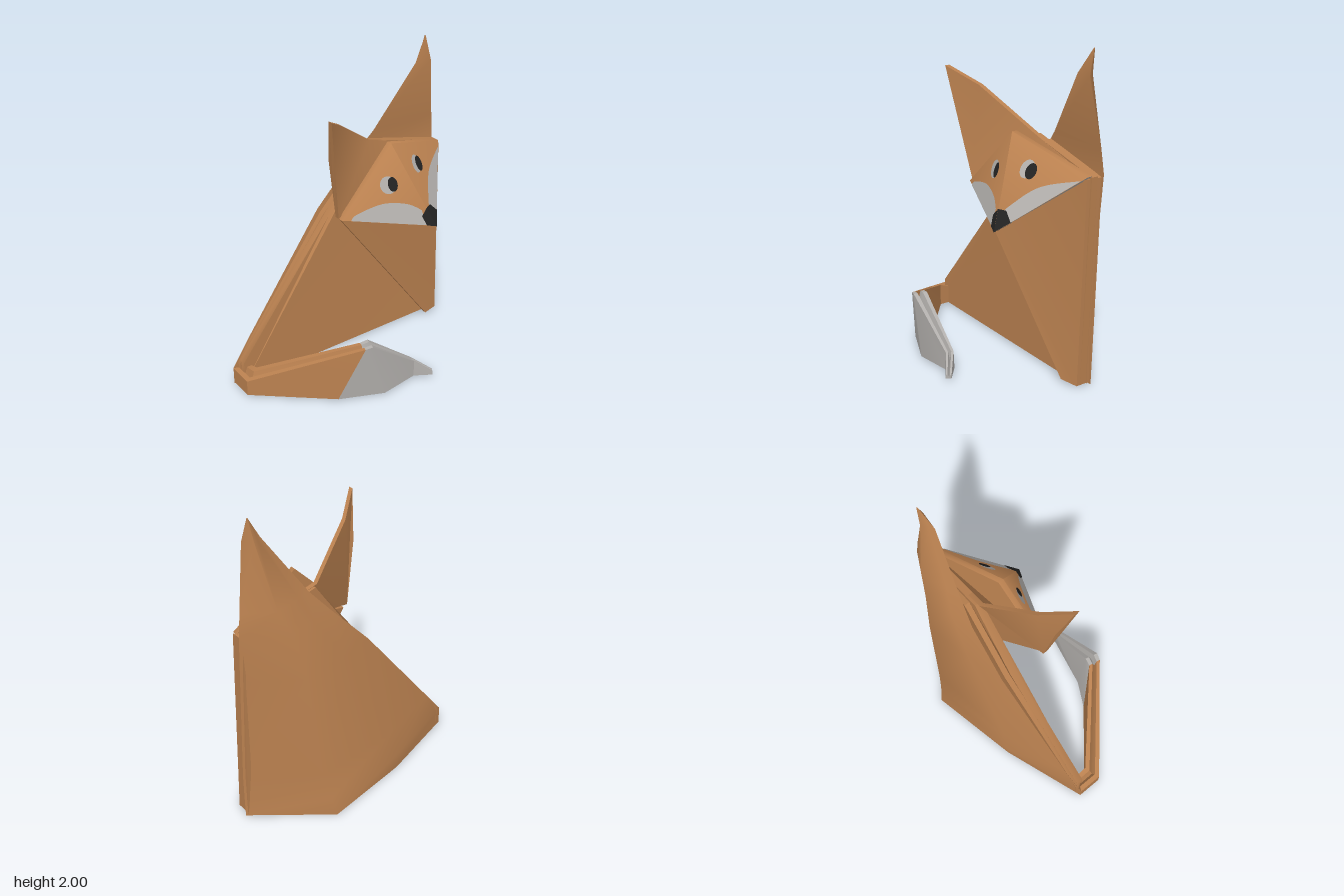
import * as THREE from 'three';
import { toCreasedNormals } from 'three/addons/utils/BufferGeometryUtils.js';

const mat = (name, color) => {
  const m = new THREE.MeshStandardMaterial({ color, side: THREE.DoubleSide });
  m.name = name;
  return m;
};

// Flat-faced geometry from a list of triangles
function fromTriangles(tris) {
  const g = new THREE.BufferGeometry();
  g.setAttribute('position', new THREE.Float32BufferAttribute(tris.flat(2), 3));
  g.computeVertexNormals();
  return g;
}

const fan = (p) => p.slice(2).map((q, i) => [p[0], p[i + 1], q]);

// Folded paper layer: polygon with a thickness towards the back
function slab(pts, depth) {
  const back = pts.map(([x, y, z]) => [x, y, z - depth]);
  const tris = [...fan(pts), ...fan(back).map(([a, b, c]) => [a, c, b])];
  pts.forEach((a, i) => {
    const j = (i + 1) % pts.length;
    tris.push([a, back[i], back[j]], [a, back[j], pts[j]]);
  });
  return toCreasedNormals(fromTriangles(tris), 0.7);
}

// Skin over rings of equal point count
function loft(rings, crease) {
  const n = rings[0].length, last = rings[rings.length - 1];
  const tris = [...fan(rings[0]).map(([a, b, c]) => [a, c, b]), ...fan(last)];
  for (let i = 0; i < rings.length - 1; i++) {
    for (let j = 0; j < n; j++) {
      const k = (j + 1) % n;
      tris.push([rings[i][j], rings[i][k], rings[i + 1][k]], [rings[i][j], rings[i + 1][k], rings[i + 1][j]]);
    }
  }
  return toCreasedNormals(fromTriangles(tris), crease);
}

// Lays a flat shape, drawn in x and y, on the plane through three points
function drape(shape, tri, lift) {
  const plane = new THREE.Plane().setFromCoplanarPoints(...tri.map((p) => new THREE.Vector3(...p)));
  const n = plane.normal, g = new THREE.ShapeGeometry(shape, 16), p = g.attributes.position;
  for (let i = 0; i < p.count; i++) {
    p.setZ(i, -(plane.constant + n.x * p.getX(i) + n.y * p.getY(i)) / n.z + lift);
  }
  g.computeVertexNormals();
  return g;
}

const polygon = (pts) => new THREE.Shape(pts.map((p) => new THREE.Vector2(...p)));

// Shape with a smooth upper curve closed by straight corners
function curved(curve, corners) {
  const s = new THREE.Shape();
  s.moveTo(...curve[0]);
  s.splineThru(curve.slice(1).map((p) => new THREE.Vector2(...p)));
  corners.forEach((p) => s.lineTo(...p));
  return s;
}

function ellipse(x, y, rx, ry, tilt) {
  const s = new THREE.Shape();
  s.absellipse(x, y, rx, ry, 0, Math.PI * 2, false, tilt);
  return s;
}

export function createModel() {
  const model = new THREE.Group();
  model.name = 'paperFox';
  const orange = mat('foxBrown', 0xb9804f);
  const white = mat('paleGrey', 0xb2afac);
  const black = mat('black', 0x222222);
  const add = (name, geo, material, parent = model) => {
    const m = new THREE.Mesh(geo, material);
    m.name = name;
    parent.add(m);
    return m;
  };

  // Back fold with the tall ear: y, then x/z of left edge, two creases, right edge
  const backRows = [
    [0, -0.8, -0.2, -0.25, -0.39, 0.34, -0.51, 0.787, -0.17],
    [0.12, -0.8, -0.2, -0.25, -0.4, 0.36, -0.48, 0.787, -0.165],
    [0.3, -0.65, -0.225, -0.2, -0.38, 0.4, -0.45, 0.787, -0.16],
    [1, -0.08, -0.275, 0.15, -0.345, 0.47, -0.4, 0.79, -0.19],
    [1.3, 0.2, -0.26, 0.35, -0.3, 0.53, -0.35, 0.795, -0.21],
    [1.45, 0.33, -0.23, 0.42, -0.26, 0.6, -0.31, 0.777, -0.2],
    [1.85, 0.6, -0.165, 0.63, -0.185, 0.67, -0.215, 0.715, -0.155],
    [2, 0.695, -0.195, 0.697, -0.2, 0.699, -0.2, 0.7, -0.195],
  ];
  const backRings = backRows.map(([y, ...r]) => [3, 2, 1, 0].map((k) => [r[2 * k], y, r[2 * k + 1]]));
  add('backAndTallEar', loft(backRings, 1.2), orange);

  // Two middle layers and the chest flap
  add('bodyFront', slab([
    [-0.75, 0.01, -0.145], [0.77, 0.01, -0.1], [0.775, 1.29, -0.14],
    [0.25, 1.43, -0.145], [-0.075, 0.99, -0.165], [-0.75, 0.165, -0.15],
  ], 0.045), orange);
  add('innerLayer', slab([
    [-0.76, 0.01, -0.18], [0.775, 0.01, -0.145], [0.775, 1.28, -0.18],
    [0.3, 1.4, -0.195], [-0.08, 0.985, -0.215], [-0.76, 0.15, -0.18],
  ], 0.035), orange);
  add('chestFlap', slab([
    [-0.12, 1.07, 0.04], [0.66, 0.02, -0.045], [0.77, 0.01, -0.075], [0.77, 1.28, -0.11],
  ], 0.025), orange);

  // Small ear, whose sheet runs on behind the head
  add('rightEar', slab([
    [-0.14, 1.09, 0.035], [0.76, 1.275, -0.135], [0.23, 1.44, -0.145],
    [-0.1, 1.685, 0.01], [-0.262, 1.795, 0.145], [-0.205, 1.5, 0.06],
  ], 0.03), orange);

  // Head: two front facets, a folded rim, a back and a pale underside
  const head = new THREE.Group();
  head.name = 'head';
  model.add(head);
  const T = [0.26, 1.475, 0.03], L = [-0.13, 1.085, 0.06], R = [0.77, 1.295, -0.115], N = [0.43, 0.955, 0.28];
  const [T2, L2, R2] = [T, L, R].map(([x, y, z]) => [x, y, z - 0.035]);
  const leftFace = [T, L, N], rightFace = [T, N, R], under = [L2, R2, N];
  add('headFolds', toCreasedNormals(fromTriangles([
    leftFace, rightFace, [T2, R2, L2], [T, T2, L2], [T, L2, L], [T, R, R2], [T, R2, T2],
  ]), 1.2), orange, head);
  add('chin', fromTriangles([under, [L, L2, N], [R2, R, N]]), white, head);

  // Cheeks
  add('rightCheek', drape(curved(
    [[-0.08, 1.075], [-0.04, 1.105], [0.13, 1.14], [0.275, 1.116], [0.36, 1.065]],
    [[0.37, 0.971]]), leftFace, 0.003), white, head);
  add('leftCheek', drape(curved(
    [[0.43, 1.08], [0.51, 1.18], [0.59, 1.23], [0.745, 1.272]],
    [[0.48, 1.005], [0.41, 1.03]]), rightFace, 0.003), white, head);

  // Nose, wrapped over both facets and the underside
  add('noseRight', drape(polygon([[0.392, 1.075], [0.352, 1.03], [0.37, 0.971], [0.43, 0.955]]), leftFace, 0.006), black, head);
  add('noseLeft', drape(polygon([[0.392, 1.075], [0.43, 0.955], [0.493, 1.017], [0.44, 1.072]]), rightFace, 0.006), black, head);
  add('noseUnder', drape(polygon([[0.37, 0.971], [0.43, 0.955], [0.49, 1.014]]), under, -0.004), black, head);

  // Eyes
  [
    ['rightEye', leftFace, 0.187, 1.242, 0.05, 0.052, 0.214, 1.244, 0],
    ['leftEye', rightFace, 0.441, 1.295, 0.038, 0.05, 0.468, 1.287, 0.3],
  ].forEach(([name, face, x, y, rx, ry, px, py, tilt]) => {
    add(name + 'White', drape(ellipse(x, y, rx, ry, tilt), face, 0.003), white, head);
    add(name + 'Pupil', drape(ellipse(px, py, 0.03, 0.043, tilt), face, 0.006), black, head);
  });

  // Tail: a doubled fold with a groove on top, from outer/inner bottom and top corners
  const tailRing = ([ob, ot, it, ib]) => {
    const mix = (t, drop) => ot.map((v, k) => v + (it[k] - v) * t - (k === 1 ? drop : 0));
    return [ib, it, mix(0.7, 0), mix(0.5, Math.min(0.06, ot[1] * 0.4)), mix(0.3, 0), ot, ob];
  };
  const tail = [
    [[-0.8, 0.01, -0.2], [-0.8, 0.12, -0.2], [-0.7, 0.13, -0.15], [-0.7, 0.01, -0.15]],
    [[-0.8, 0.01, -0.04], [-0.8, 0.115, -0.04], [-0.7, 0.155, -0.08], [-0.7, 0.01, -0.08]],
    [[-0.37, 0.01, 0.335], [-0.235, 0.392, 0.435], [-0.22, 0.392, 0.355], [-0.34, 0.01, 0.225]],
    [[-0.1, 0.01, 0.46], [-0.19, 0.4, 0.45], [-0.17, 0.4, 0.365], [-0.18, 0.01, 0.31]],
    [[0.15, 0.015, 0.44], [0.15, 0.13, 0.44], [0.16, 0.13, 0.39], [0.16, 0.015, 0.385]],
    [[0.25, 0.02, 0.51], [0.25, 0.045, 0.508], [0.27, 0.04, 0.48], [0.27, 0.02, 0.48]],
  ].map(tailRing);
  add('tail', loft(tail.slice(0, 3), 0.5), orange);
  add('tailTip', loft(tail.slice(2), 0.5), white);

  return model;
}
